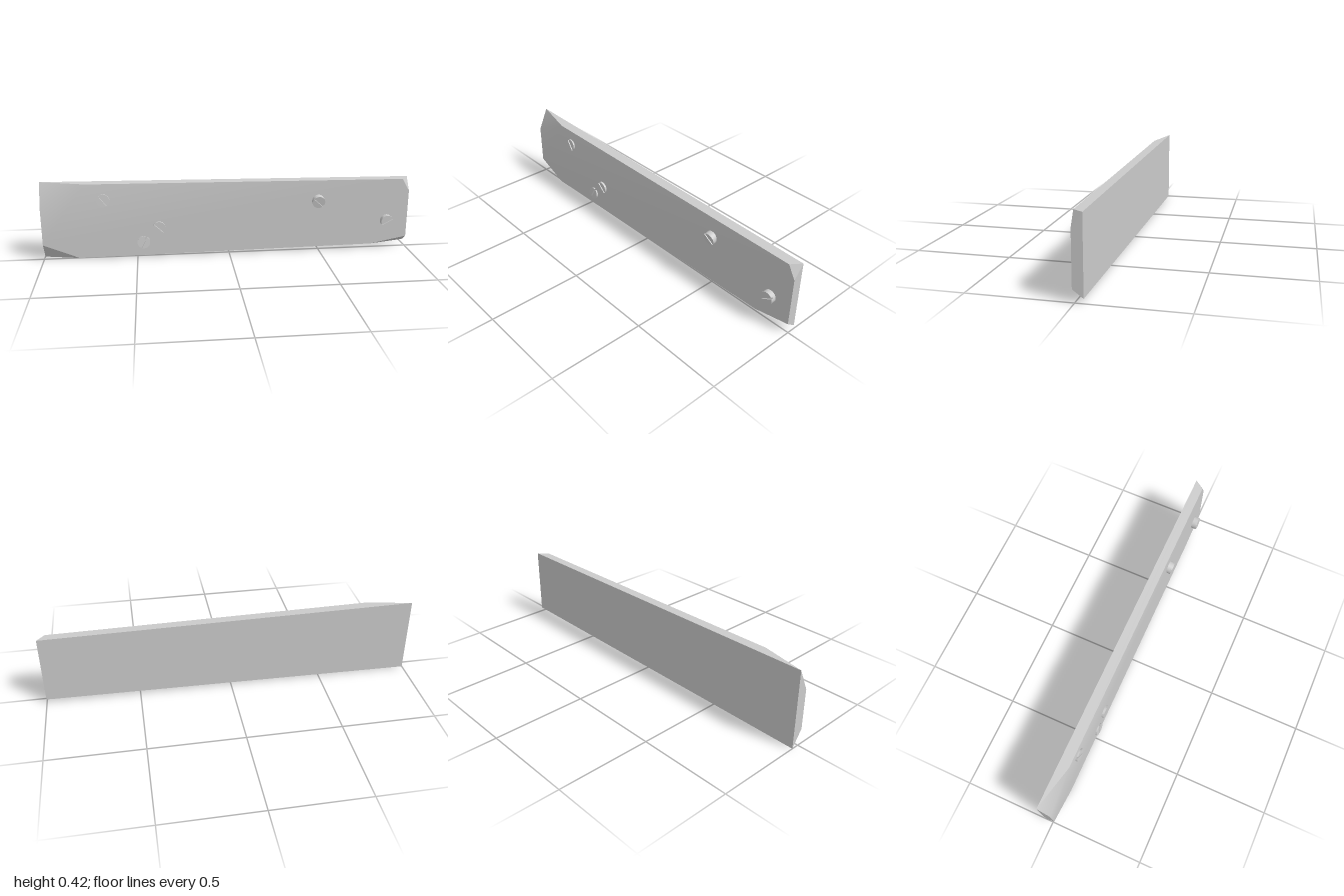
import * as THREE from 'three';
import { toCreasedNormals } from 'three/addons/utils/BufferGeometryUtils.js';
import { ConvexGeometry } from 'three/addons/geometries/ConvexGeometry.js';

const RADIUS = 0.034, SLOT = 0.009, SLOT_DEPTH = 0.009, LENGTH = 0.045;

// Tapered board whose four front corners are chipped away
function plankGeometry() {
  const frontZ = (x) => 0.0135 - 0.0027 * x;
  const back = [[-1, 0], [1, 0.022], [1, 0.395], [-1, 0.42]];
  const front = [
    [-1, 0.085], [-0.81, 0.005], [0.8, 0.022], [1, 0.06],
    [1, 0.325], [0.96, 0.393], [-0.76, 0.415], [-1, 0.3],
  ];
  const points = [
    ...back.map(([x, y]) => new THREE.Vector3(x, y, -0.04)),
    ...front.map(([x, y]) => new THREE.Vector3(x, y, frontZ(x))),
  ];
  return toCreasedNormals(new ConvexGeometry(points), 0.52);
}

// Half of the slotted top of a screw: a disc segment above the slot
function halfHeadGeometry() {
  const a = Math.asin(SLOT / 2 / RADIUS);
  const shape = new THREE.Shape();
  shape.absarc(0, 0, RADIUS, a, Math.PI - a, false);
  shape.closePath();
  const geometry = new THREE.ExtrudeGeometry(shape, { depth: SLOT_DEPTH, bevelEnabled: false, curveSegments: 12 });
  geometry.translate(0, 0, -SLOT_DEPTH);
  return toCreasedNormals(geometry, 0.6);
}

export function createModel() {
  const model = new THREE.Group();
  model.name = 'plankWithScrews';
  const material = new THREE.MeshStandardMaterial({ color: 0xcccccc });

  const add = (parent, name, geometry) => {
    const mesh = new THREE.Mesh(geometry, material);
    mesh.name = name;
    parent.add(mesh);
    return mesh;
  };

  add(model, 'plank', plankGeometry());

  // Screw body ends at the slot floor, local z points out of the board
  const body = new THREE.CylinderGeometry(RADIUS, RADIUS, LENGTH - SLOT_DEPTH, 24);
  body.rotateX(Math.PI / 2).translate(0, 0, -(LENGTH + SLOT_DEPTH) / 2);
  const half = halfHeadGeometry();

  // x, y, z of the head centre, tilt about x, slot angle
  const screws = [
    [-0.67, 0.325, 0.026, -0.08, -0.9],
    [-0.38, 0.163, 0.026, 0, -0.75],
    [-0.465, 0.085, 0.025, -0.1, 1.1],
    [0.49, 0.28, 0.034, 0.2, -0.75],
    [0.88, 0.158, 0.04, 0, 0.5],
  ];
  screws.forEach(([x, y, z, tilt, slotAngle], i) => {
    const screw = new THREE.Group();
    screw.name = `screw${i + 1}`;
    screw.position.set(x, y, z);
    screw.rotation.set(tilt, 0, slotAngle);
    add(screw, 'screwBody', body);
    add(screw, 'headUpperHalf', half);
    add(screw, 'headLowerHalf', half).rotation.z = Math.PI;
    model.add(screw);
  });

  return model;
}
